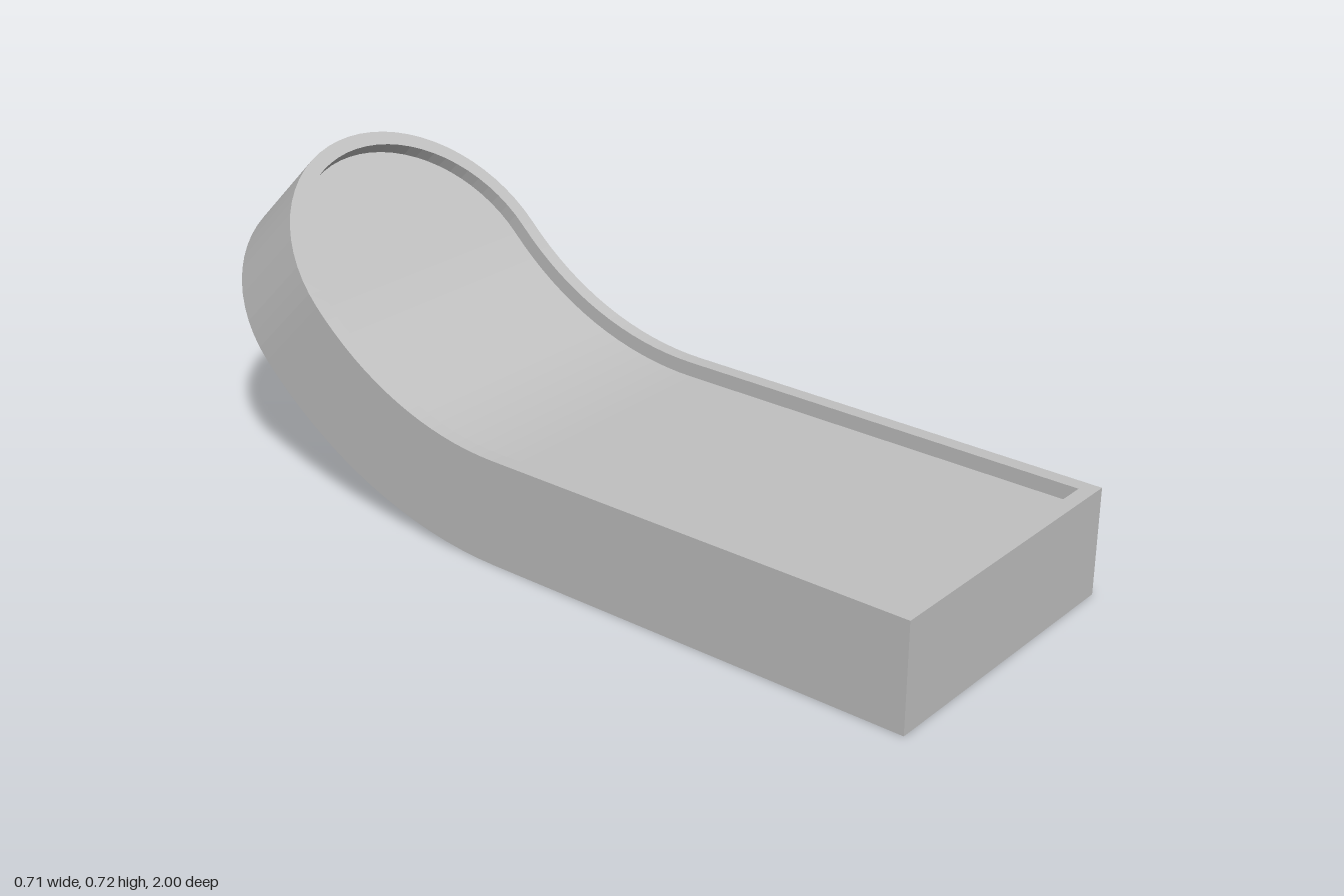
import * as THREE from 'three';

const HALF = 0.357;     // half width, also the radius of the rounded end
const THICK = 0.25;
const WALL = 0.035;     // rim width
const DEPTH = 0.035;    // recess depth
const FLAT = 1.05;      // straight length before the bend
const RADIUS = 0.734;   // bend radius along the top surface
const BEND = Math.PI / 4;
const ARC = RADIUS * BEND;

// Places a point of the flat plan (x across, s along, d below the top) on the bent slab
function bend(x, s, d) {
  if (s <= FLAT) return [x, THICK - d, 1 - s];
  const a = Math.min((s - FLAT) / RADIUS, BEND);
  const rest = Math.max(0, s - FLAT - ARC);
  const r = RADIUS + d;
  return [
    x,
    THICK + RADIUS - r * Math.cos(a) + rest * Math.sin(a),
    1 - FLAT - r * Math.sin(a) - rest * Math.cos(a),
  ];
}

// Plan outline, from the front left corner round the far end to the front right corner
function outline(inset, bendSteps = 16, endSteps = 32) {
  const w = HALF - inset;
  const side = [[w, inset]];
  for (let i = 0; i <= bendSteps; i++) side.push([w, FLAT + (ARC * i) / bendSteps]);
  const end = [];
  for (let i = 1; i < endSteps; i++) {
    const t = (Math.PI * i) / endSteps;
    end.push([w * Math.cos(t), FLAT + ARC + w * Math.sin(t)]);
  }
  return [...side, ...end, ...side.map(([x, s]) => [-x, s]).reverse()];
}

const level = (points, d) => points.map(([x, s]) => bend(x, s, d));
const close = (points) => [...points, points[0]];

// Faceted band of quads between two rows of points
function strip(a, b) {
  const pos = [];
  for (let i = 0; i < a.length - 1; i++) {
    pos.push(...a[i], ...a[i + 1], ...b[i + 1], ...a[i], ...b[i + 1], ...b[i]);
  }
  const g = new THREE.BufferGeometry();
  g.setAttribute('position', new THREE.Float32BufferAttribute(pos, 3));
  g.computeVertexNormals();
  return g;
}

// Fills a symmetric outline with strips across its width
function fill(points, up) {
  const n = Math.ceil(points.length / 2);
  const left = points.slice(0, n);
  const right = points.slice().reverse().slice(0, n);
  return up ? strip(left, right) : strip(right, left);
}

export function createModel() {
  const model = new THREE.Group();
  model.name = 'curvedTray';
  const grey = new THREE.MeshStandardMaterial({ color: 0xc0c0c0 });
  grey.name = 'lightGrey';

  const outer = outline(0);
  const inner = outline(WALL);
  const outerTop = level(outer, 0);
  const outerBottom = level(outer, THICK);
  const innerTop = level(inner, 0);
  const innerFloor = level(inner, DEPTH);

  const parts = {
    outerWall: strip(close(outerBottom), close(outerTop)),
    rim: strip(close(outerTop), close(innerTop)),
    recessWall: strip(close(innerTop), close(innerFloor)),
    recessFloor: fill(innerFloor, true),
    underside: fill(outerBottom, false),
  };
  for (const [name, geometry] of Object.entries(parts)) {
    const mesh = new THREE.Mesh(geometry, grey);
    mesh.name = name;
    model.add(mesh);
  }
  return model;
}
